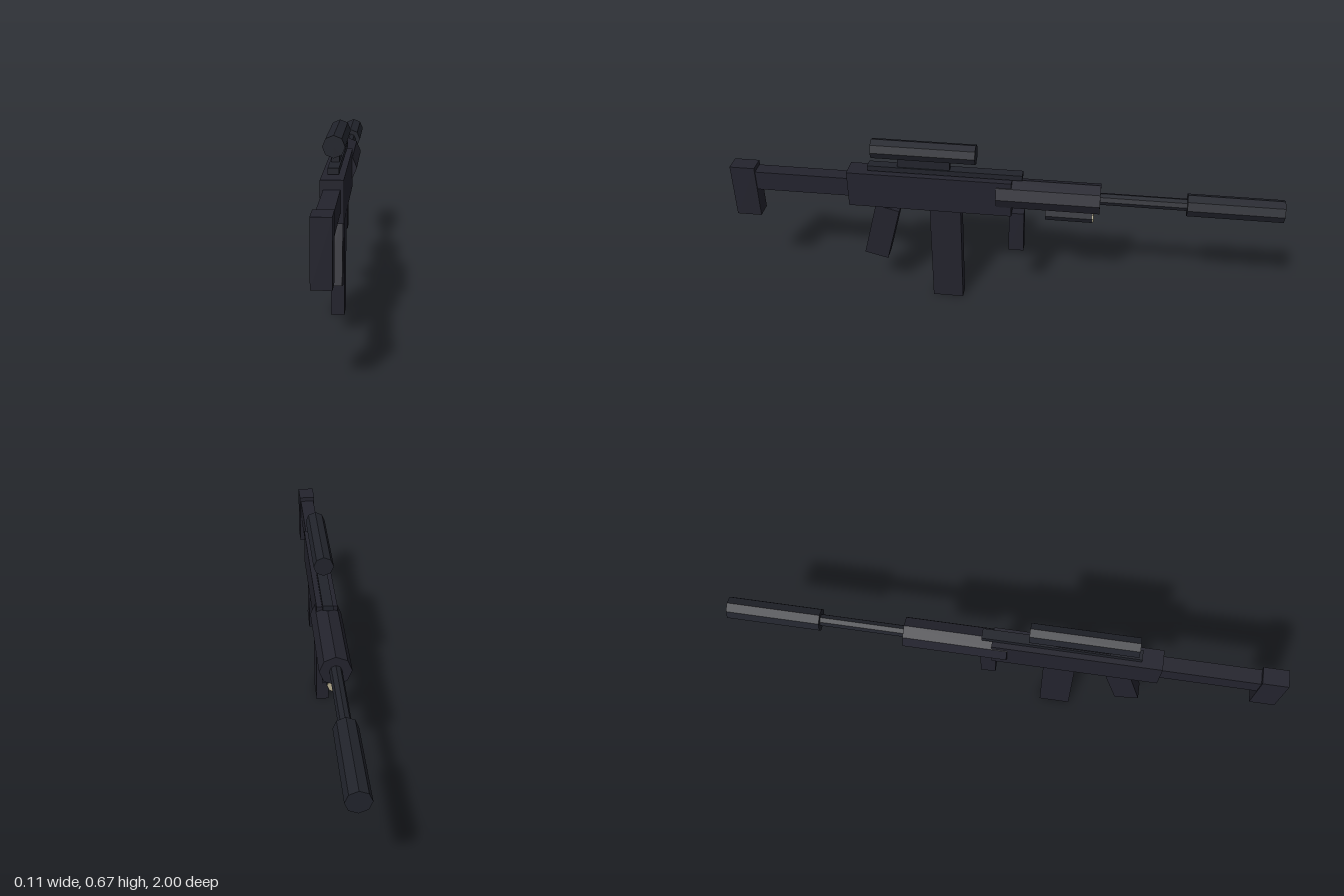
import * as THREE from 'three';

export function createModel() {
  const model = new THREE.Group();
  const mat = (name, color) => {
    const m = new THREE.MeshStandardMaterial({ color, flatShading: true });
    m.name = name;
    return m;
  };
  const body = mat('dark slate', 0x23232d);
  const metal = mat('dark steel', 0x21232b);
  const glass = mat('pale lens', 0xb8ae90);

  const add = (name, geometry, material) => {
    const mesh = new THREE.Mesh(geometry, material);
    mesh.name = name;
    model.add(mesh);
    return mesh;
  };
  // Box centred on x = 0, given its width and its y and z ranges
  const box = (name, w, y0, y1, z0, z1, material = body) => {
    const mesh = add(name, new THREE.BoxGeometry(w, y1 - y0, z1 - z0), material);
    mesh.position.set(0, (y0 + y1) / 2, (z0 + z1) / 2);
    return mesh;
  };
  // Eight-sided bar lying along z
  const bar = (name, r, y, z0, z1, material = metal) => {
    const geometry = new THREE.CylinderGeometry(r, r, z1 - z0, 8).rotateX(Math.PI / 2);
    const mesh = add(name, geometry, material);
    mesh.position.set(0, y, (z0 + z1) / 2);
    return mesh;
  };

  // Stock and receiver
  box('buttPlate', 0.062, 0.322, 0.527, 0.908, 1);
  box('stock', 0.054, 0.436, 0.51, 0.558, 0.908);
  box('receiver', 0.075, 0.402, 0.541, -0.04, 0.56);

  // Parts below the receiver
  box('magazine', 0.048, 0, 0.402, 0.147, 0.262);
  box('frontGrip', 0.04, 0.24, 0.404, -0.085, -0.03);
  const grip = box('rearGrip', 0.06, 0.171, 0.396, 0.402, 0.492);
  grip.position.set(0, 0.284, 0.447);
  grip.rotation.x = -0.25;

  // Rail and scope
  box('topRail', 0.037, 0.545, 0.565, -0.077, 0.485, metal);
  box('scopeMount', 0.027, 0.565, 0.61, 0.185, 0.375, metal);
  bar('scope', 0.037, 0.63, 0.09, 0.467);

  // Handguard, barrel and muzzle
  bar('handguard', 0.056, 0.48, -0.357, 0.015, body);
  bar('barrel', 0.022, 0.481, -0.67, -0.35);
  bar('muzzleTube', 0.041, 0.481, -1, -0.663);

  // Lamp under the handguard
  bar('lamp', 0.029, 0.408, -0.332, -0.162);
  bar('lampLens', 0.027, 0.408, -0.337, -0.331, glass);

  return model;
}
